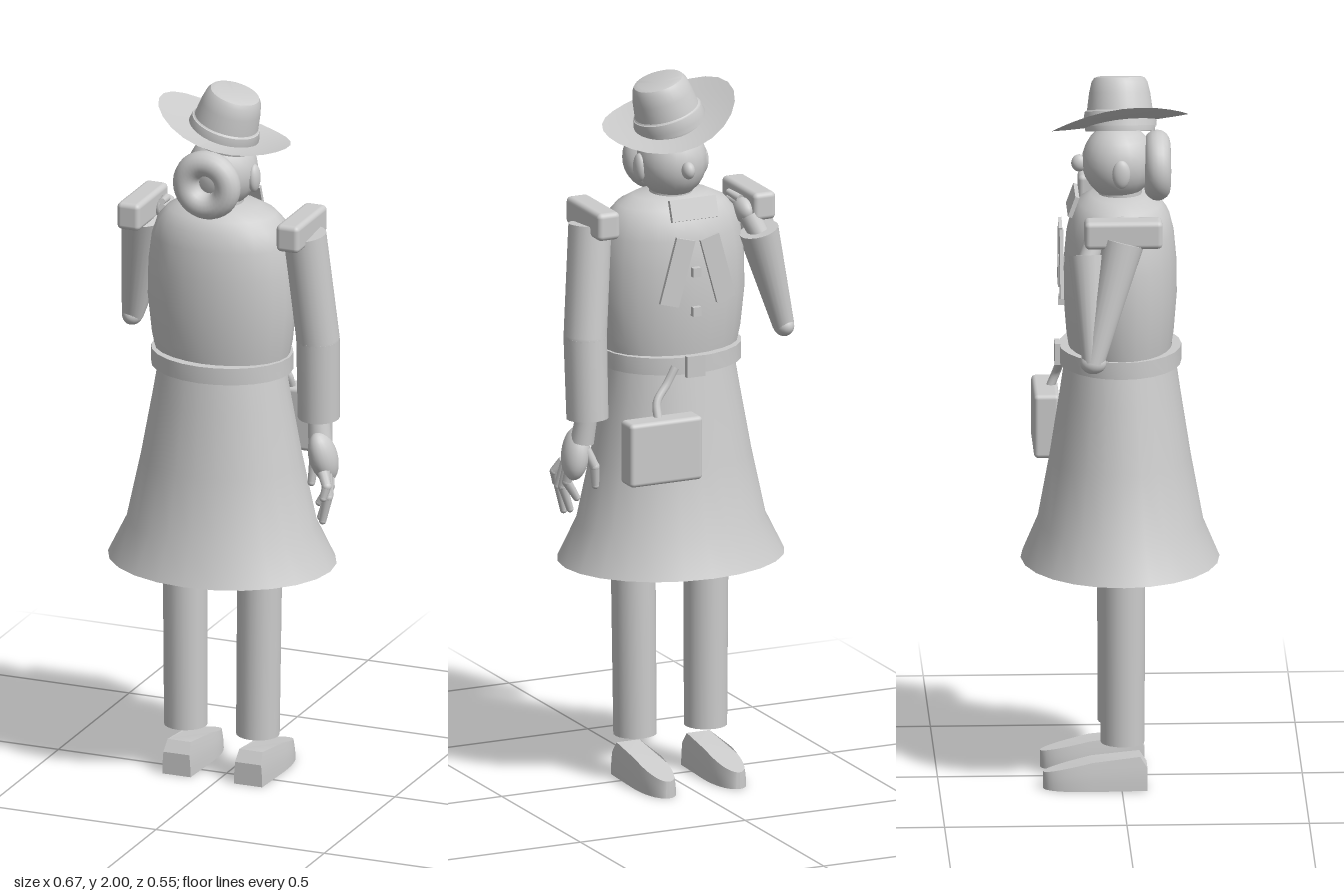
import * as THREE from 'three';
import { RoundedBoxGeometry } from 'three/addons/geometries/RoundedBoxGeometry.js';
import { toCreasedNormals } from 'three/addons/utils/BufferGeometryUtils.js';

const V = (x, y, z) => new THREE.Vector3(x, y, z);
const CX = -0.013; // body axis

export function createModel() {
  const model = new THREE.Group();
  const grey = new THREE.MeshStandardMaterial({ color: 0xcccccc, side: THREE.DoubleSide });
  grey.name = 'plainGrey';

  const add = (name, geo, x = 0, y = 0, z = 0, parent = model) => {
    const m = new THREE.Mesh(geo, grey);
    m.name = name;
    m.position.set(x, y, z);
    parent.add(m);
    return m;
  };
  const lathe = (pts, sides = 24) =>
    toCreasedNormals(new THREE.LatheGeometry(pts.map(p => new THREE.Vector2(...p)), sides), 0.6);
  // Tapered round bar between two points
  const limb = (name, a, b, ra, rb, parent = model, sides = 20) => {
    const d = b.clone().sub(a);
    const m = add(name, new THREE.CylinderGeometry(rb, ra, d.length(), sides), 0, 0, 0, parent);
    m.position.copy(a).add(b).multiplyScalar(0.5);
    m.quaternion.setFromUnitVectors(V(0, 1, 0), d.normalize());
    return m;
  };
  const ball = (name, p, sx, sy, sz, parent = model) => {
    const m = add(name, new THREE.SphereGeometry(1, 20, 14), p.x, p.y, p.z, parent);
    m.scale.set(sx, sy, sz);
    return m;
  };

  // Coat: rounded chest, belt and flared skirt
  const chest = add('coatTop', lathe([[0, 1.18], [0.185, 1.2], [0.2, 1.27], [0.212, 1.38], [0.21, 1.48],
    [0.2, 1.56], [0.183, 1.61], [0.155, 1.64], [0.11, 1.662], [0, 1.67]]), CX);
  chest.scale.z = 0.735;
  const belt = add('belt', lathe([[0.17, 1.187], [0.2, 1.187], [0.2, 1.235], [0.17, 1.235]]), CX);
  belt.scale.z = 0.84;
  const skirt = add('coatSkirt', lathe([[0, 0.628], [0.321, 0.628], [0.268, 0.735], [0.228, 0.92],
    [0.195, 1.1], [0.178, 1.2], [0, 1.2]]), CX);
  skirt.scale.z = 0.85;

  // Collar, lapels, buttons and buckle on the chest
  add('collar', new THREE.BoxGeometry(0.14, 0.06, 0.012), -0.02, 1.645, -0.13).rotation.x = 0.35;
  for (const s of [-1, 1]) {
    add('lapel', new THREE.BoxGeometry(0.058, 0.19, 0.01), -0.016 + s * 0.061, 1.48, -0.163).rotation.z = s * 0.27;
  }
  for (const y of [1.474, 1.362]) add('button', new THREE.BoxGeometry(0.024, 0.026, 0.02), CX, y, -0.16);
  add('buckle', new THREE.BoxGeometry(0.055, 0.06, 0.015), -0.005, 1.21, -0.172);

  // Head with ears, nose and rolled bun
  limb('neck', V(CX, 1.62, 0), V(CX, 1.72, 0), 0.06, 0.06);
  ball('head', V(CX, 1.755, -0.005), 0.097, 0.105, 0.1);
  for (const s of [-1, 1]) ball('ear', V(CX + s * 0.095, 1.742, 0), 0.016, 0.04, 0.025);
  ball('nose', V(CX, 1.75, -0.112), 0.018, 0.024, 0.022);
  add('bun', new THREE.TorusGeometry(0.062, 0.036, 16, 32), -0.016, 1.742, 0.102);

  // Hat: curled, tilted brim and tapering crown
  const brim = new THREE.LatheGeometry([[0.06, 0], [0.1, 0], [0.15, 0.001], [0.187, 0.003]]
    .map(p => new THREE.Vector2(...p)), 24);
  const bp = brim.attributes.position;
  for (let i = 0; i < bp.count; i++) {
    const x = bp.getX(i), z = bp.getZ(i);
    bp.setY(i, bp.getY(i) - 0.3 * x + 0.12 * z + 0.035 * (x / 0.187) ** 2);
    bp.setX(i, x * 0.97);
  }
  brim.computeVertexNormals();
  add('hatBrim', brim, -0.006, 1.858, 0);
  const crown = add('hatCrown', lathe([[0.095, -0.025], [0.099, 0], [0.094, 0.03], [0.09, 0.034], [0.084, 0.08],
    [0.077, 0.11], [0.069, 0.122], [0.057, 0.126], [0, 0.118]], 32), -0.01, 1.864, 0);
  crown.rotation.z = -0.29;
  const band = add('hatBand', lathe([[0.1, -0.01], [0.101, 0.004], [0.096, 0.03], [0.09, 0.032]], 32), -0.01, 1.864, 0);
  band.rotation.z = -0.29;

  // Shoulder boards
  for (const x of [-0.25, 0.223]) {
    add('shoulderBoard', new RoundedBoxGeometry(0.068, 0.078, 0.214, 3, 0.014), x, 1.616, 0);
  }

  // Hanging arm
  const leftArm = new THREE.Group();
  leftArm.name = 'leftArm';
  model.add(leftArm);
  const elbow = V(0.26, 1.29, -0.028);
  limb('upperSleeve', V(0.232, 1.6, 0), elbow, 0.06, 0.06, leftArm);
  ball('elbow', elbow, 0.06, 0.06, 0.06, leftArm);
  limb('lowerSleeve', elbow, V(0.258, 1.06, -0.038), 0.06, 0.058, leftArm);

  // Hand with lightly curled fingers
  limb('wrist', V(0.258, 1.07, -0.035), V(0.268, 0.99, -0.025), 0.03, 0.033, leftArm);
  const palm = ball('palm', V(0.282, 0.955, -0.012), 0.038, 0.075, 0.046, leftArm);
  palm.rotation.set(0.2, 0, 0.2);
  const finger = (name, a, b, c, r) => {
    limb(name, a, b, r * 1.1, r, leftArm, 10);
    ball(name + 'Knuckle', b, r, r, r, leftArm);
    limb(name, b, c, r, r * 0.75, leftArm, 10);
    ball(name + 'Tip', c, r * 0.75, r * 0.75, r * 0.75, leftArm);
  };
  [[0.03, 0.055, 0.86], [0.017, 0.03, 0.785], [0, 0.015, 0.79], [-0.018, -0.002, 0.825]].forEach(([z0, z1, y], i) =>
    finger('finger', V(0.298, 0.925, z0), V(0.317 - i * 0.004, (0.925 + y) / 2, (z0 + z1) / 2 + 0.005),
      V(0.31 - i * 0.012, y, z1), 0.0135));
  finger('thumb', V(0.262, 0.97, -0.035), V(0.24, 0.92, -0.046), V(0.235, 0.865, -0.04), 0.014);

  // Raised arm, sharply folded at the elbow
  const rightArm = new THREE.Group();
  rightArm.name = 'rightArm';
  model.add(rightArm);
  const fold = V(-0.315, 1.265, -0.085);
  limb('upperSleeve', V(-0.252, 1.59, 0), fold, 0.057, 0.03, rightArm);
  ball('elbow', fold, 0.028, 0.03, 0.036, rightArm);
  limb('lowerSleeve', fold, V(-0.235, 1.55, -0.095), 0.03, 0.055, rightArm);
  limb('wrist', V(-0.235, 1.54, -0.095), V(-0.215, 1.59, -0.075), 0.028, 0.03, rightArm);
  ball('palm', V(-0.205, 1.6, -0.055), 0.026, 0.035, 0.045, rightArm);
  for (let i = 0; i < 4; i++) {
    limb('finger', V(-0.2, 1.585 + i * 0.015, -0.05), V(-0.19, 1.59 + i * 0.016, 0.005), 0.012, 0.009, rightArm, 10);
  }

  // Satchel hanging from the belt
  add('satchel', new RoundedBoxGeometry(0.22, 0.18, 0.07, 3, 0.012), 0.11, 0.993, -0.2);
  const strap = new THREE.CatmullRomCurve3([V(0.115, 1.07, -0.19), V(0.11, 1.12, -0.17), V(0.075, 1.165, -0.16), V(0.05, 1.21, -0.16)]);
  add('satchelStrap', new THREE.TubeGeometry(strap, 16, 0.012, 10));

  // Shoe: rounded sole outline, upper lowered toward the toe
  const sole = new THREE.Shape();
  sole.moveTo(-0.042, -0.07);
  sole.lineTo(0.042, -0.07);
  sole.lineTo(0.048, 0.08);
  sole.bezierCurveTo(0.05, 0.15, 0.035, 0.215, 0, 0.215);
  sole.bezierCurveTo(-0.035, 0.215, -0.05, 0.15, -0.048, 0.08);
  sole.lineTo(-0.042, -0.07);
  const shoe = new THREE.ExtrudeGeometry(sole, { depth: 0.095, steps: 3, bevelEnabled: false, curveSegments: 10 });
  shoe.rotateX(-Math.PI / 2);
  const sp = shoe.attributes.position;
  for (let i = 0; i < sp.count; i++) {
    const t = THREE.MathUtils.clamp((-sp.getZ(i) - 0.02) / 0.195, 0, 1);
    const h = sp.getY(i) / 0.095;
    sp.setY(i, sp.getY(i) * (1 - 0.5 * t));
    sp.setX(i, sp.getX(i) * (1 - 0.18 * h * h));
    if (h > 0.9 && sp.getZ(i) > 0.06) sp.setZ(i, 0.05);
  }
  const shoeGeo = toCreasedNormals(shoe, 0.5);

  // Legs and shoes, with a gap at the ankle
  for (const [top, bottom, foot] of [[-0.122, -0.12, -0.12], [0.1, 0.094, 0.093]]) {
    limb('leg', V(bottom, 0.13, 0.003), V(top, 0.66, 0.003), 0.06, 0.062);
    add('shoe', shoeGeo, foot, 0, 0);
  }
  return model;
}
